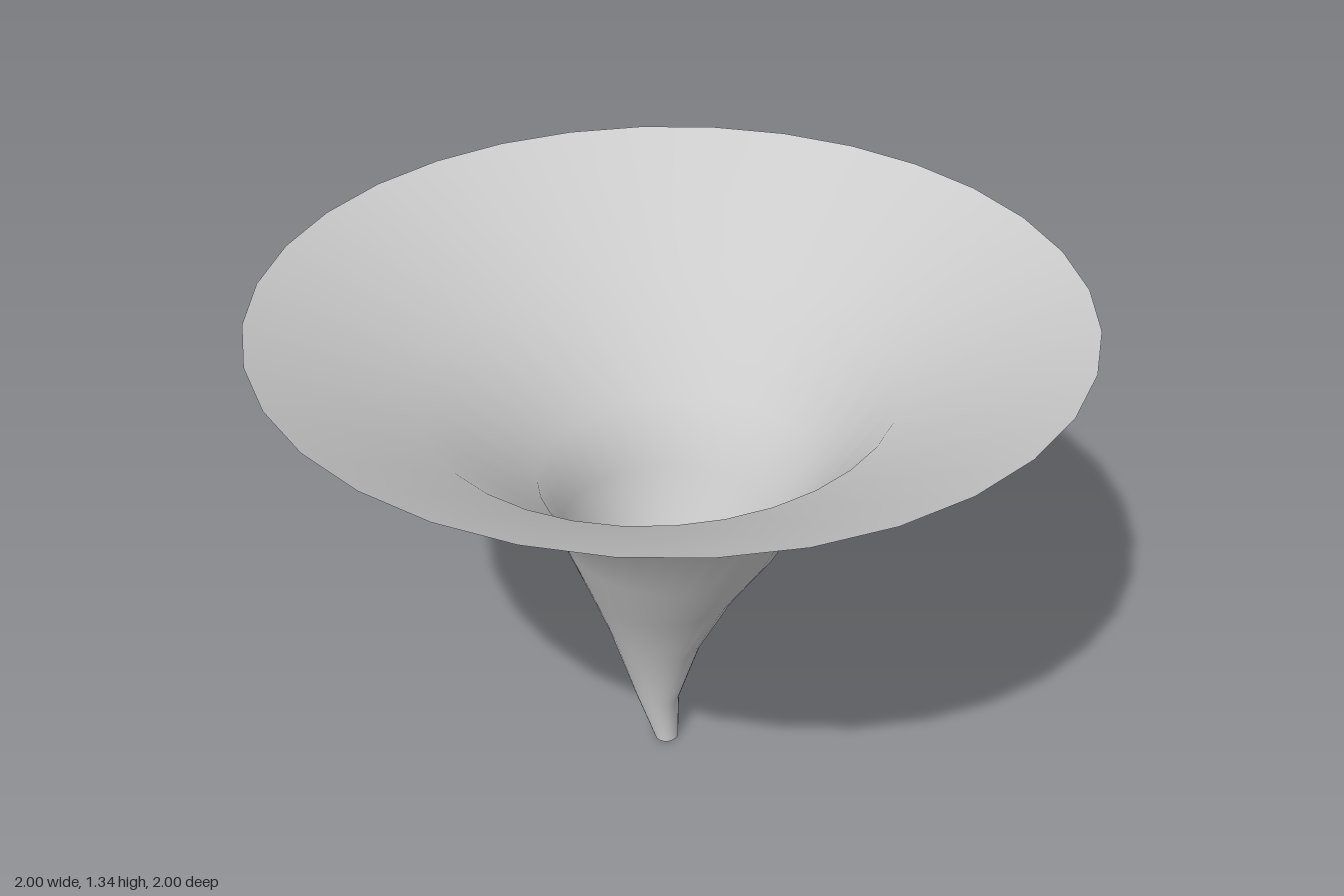
import * as THREE from 'three';

// Cross-sections from tip to rim: [centre x, radius x, radius z, y on the -x side, y on the +x side]
const RINGS = [
  [-0.017, 0.03, 0.032, 0, 0],
  [-0.052, 0.063, 0.055, 0.14, 0.13],
  [-0.057, 0.132, 0.11, 0.35, 0.33],
  [-0.032, 0.203, 0.19, 0.52, 0.52],
  [-0.002, 0.283, 0.275, 0.7, 0.69],
  [0.03, 0.35, 0.358, 0.875, 0.88],
  [-0.032, 0.568, 0.605, 1.107, 1.107],
  [0, 1, 1, 1.335, 1.335],
];
const SIDES = 32;

// Open shell lofted through the rings, with shared vertices for smooth shading
function loft(rings, sides) {
  const positions = [];
  const indices = [];
  rings.forEach(([cx, rx, rz, yLow, yHigh], i) => {
    for (let j = 0; j < sides; j++) {
      const a = (j / sides) * Math.PI * 2;
      const y = THREE.MathUtils.lerp(yLow, yHigh, (Math.cos(a) + 1) / 2);
      positions.push(cx + rx * Math.cos(a), y, rz * Math.sin(a));
      if (i === rings.length - 1) continue;
      const p = i * sides + j;
      const q = i * sides + ((j + 1) % sides);
      indices.push(p, p + sides, q, q, p + sides, q + sides);
    }
  });
  const geometry = new THREE.BufferGeometry();
  geometry.setAttribute('position', new THREE.Float32BufferAttribute(positions, 3));
  geometry.setIndex(indices);
  geometry.computeVertexNormals();
  return geometry;
}

export function createModel() {
  const group = new THREE.Group();
  group.name = 'whirlwind';
  const material = new THREE.MeshStandardMaterial({ color: 0xcccccc, side: THREE.DoubleSide });

  // Bent funnel, open at the rim and at the tip
  const funnel = new THREE.Mesh(loft(RINGS, SIDES), material);
  funnel.name = 'funnel';
  group.add(funnel);
  return group;
}
